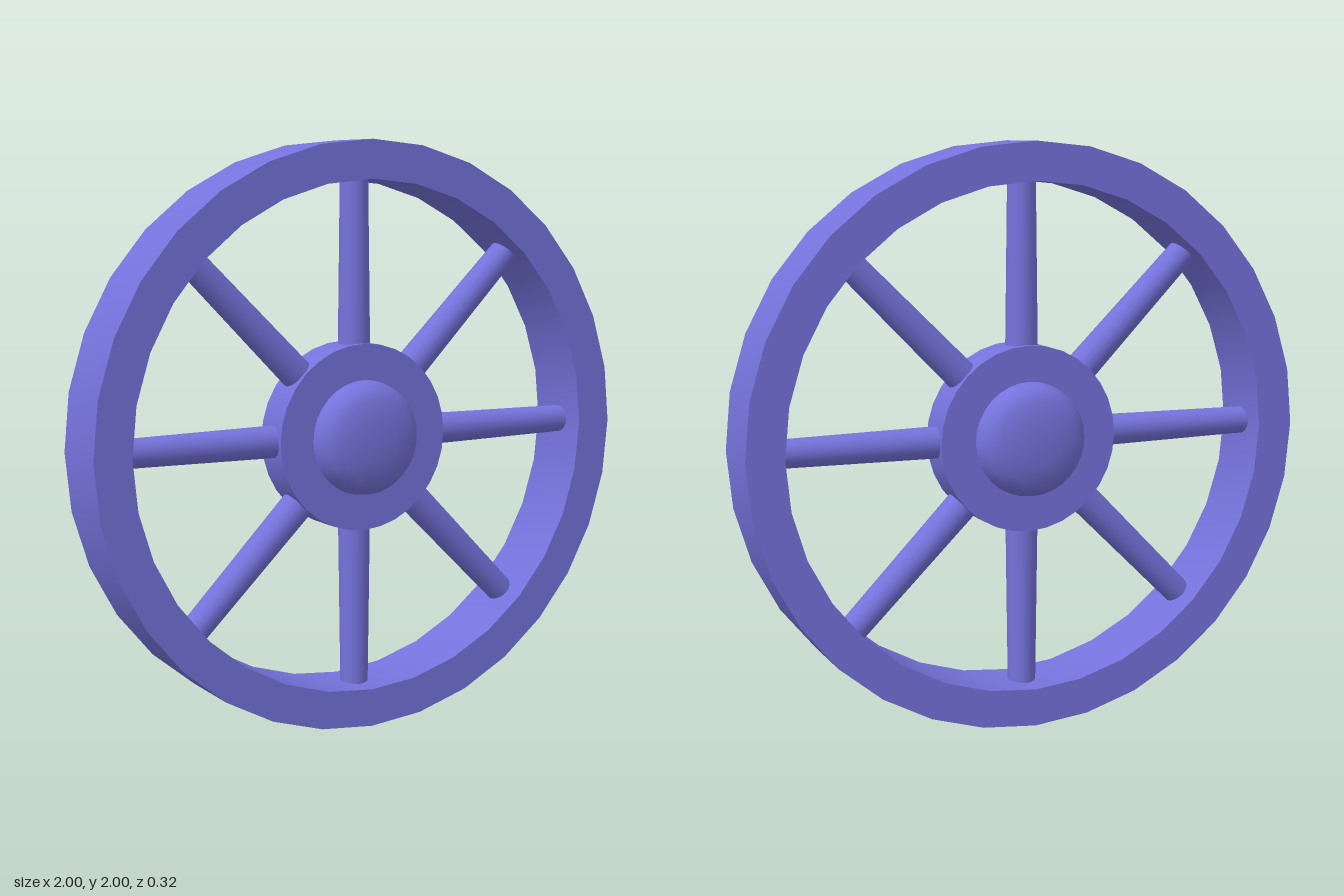
import * as THREE from 'three';
import { toCreasedNormals } from 'three/addons/utils/BufferGeometryUtils.js';

const SIDES = 32, SPOKES = 8;

// Revolve a [radius, z] profile about the z axis, keeping hard edges sharp
function turned(profile) {
  const points = profile.map(([r, z]) => new THREE.Vector2(r, z));
  const geometry = new THREE.LatheGeometry(points, SIDES).rotateX(Math.PI / 2);
  return toCreasedNormals(geometry, 0.6);
}

export function createModel() {
  const wheel = new THREE.Group();
  wheel.name = 'spokedWheel';
  const paint = new THREE.MeshStandardMaterial({ color: 0x7573dc });
  paint.name = 'violetBlue';

  const add = (name, geometry) => {
    const mesh = new THREE.Mesh(geometry, paint);
    mesh.name = name;
    mesh.position.y = 1;
    wheel.add(mesh);
    return mesh;
  };

  // Rim: closed rectangular section
  add('rim', turned([[0.87, -0.125], [1, -0.125], [1, 0.125], [0.87, 0.125], [0.87, -0.125]]));

  // Hub: flat disc with a rounded cap on both faces
  const half = [[0.32, 0.07], [0.197, 0.07], [0.192, 0.1], [0.173, 0.13], [0.14, 0.148], [0.08, 0.158], [0, 0.162]];
  const back = half.map(([r, z]) => [r, -z]).reverse();
  add('hub', turned([...back, ...half]));

  // Spokes: slightly thicker at the hub
  const spoke = new THREE.CylinderGeometry(0.048, 0.056, 0.64, 16, 1, true).translate(0, 0.58, 0);
  for (let i = 0; i < SPOKES; i++) {
    add('spoke' + (i + 1), spoke).rotation.z = (i / SPOKES) * Math.PI * 2;
  }
  return wheel;
}
